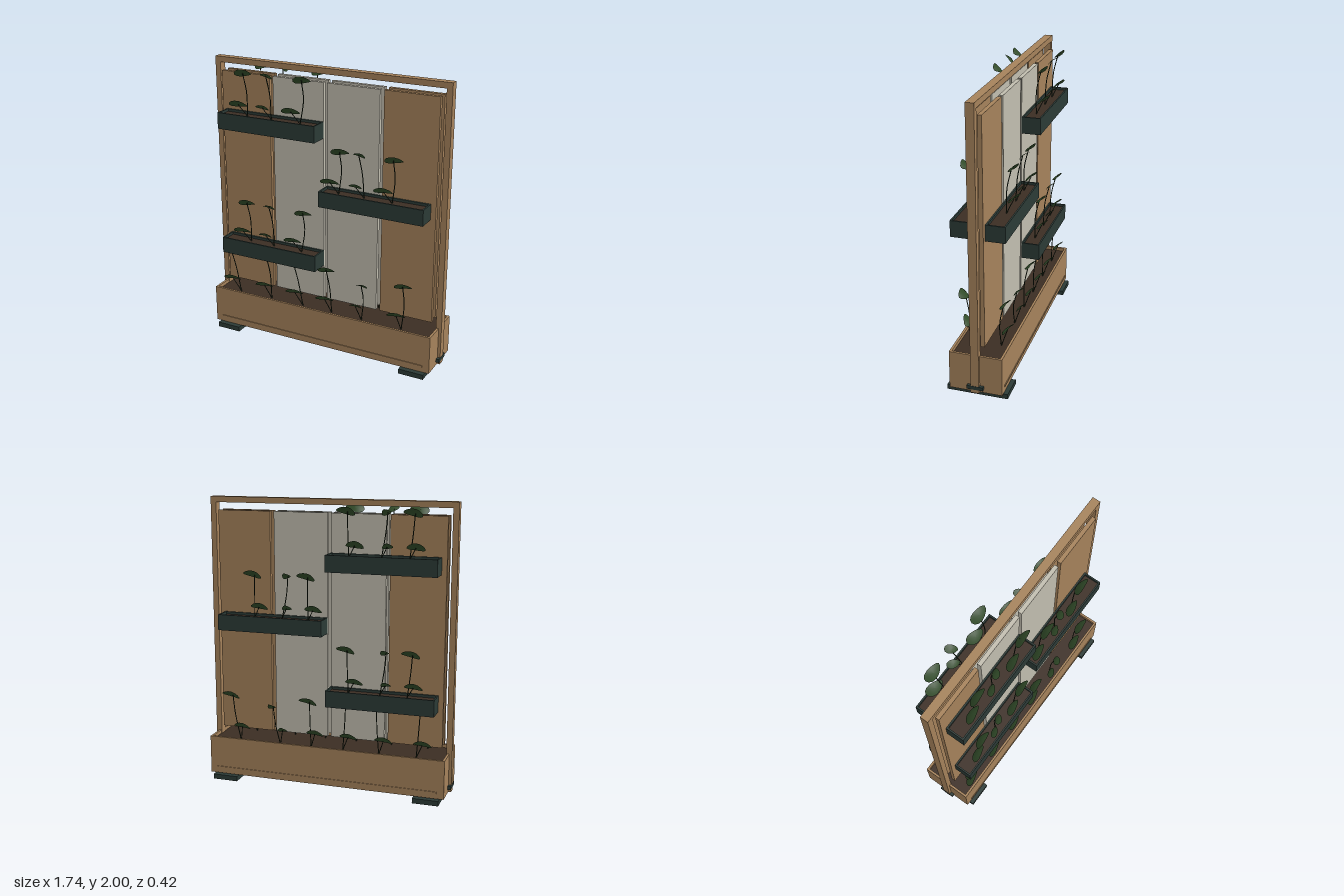
import * as THREE from 'three';

const mat = (color, side = THREE.FrontSide) => {
  const m = new THREE.MeshStandardMaterial({ side });
  m.color.set(color);
  return m;
};
const WOOD = mat(0xa5825b), PALE = mat(0xc1bdaf), METAL = mat(0x2b3a36), SOIL = mat(0x3b2d23);
const STEM = mat(0x1e2a1a), LEAF = mat(0x304a28, THREE.DoubleSide);

// Box given by its minimum and maximum corners
function box(parent, name, m, [x0, x1], [y0, y1], [z0, z1]) {
  const mesh = new THREE.Mesh(new THREE.BoxGeometry(x1 - x0, y1 - y0, z1 - z0), m);
  mesh.position.set((x0 + x1) / 2, (y0 + y1) / 2, (z0 + z1) / 2);
  mesh.name = name;
  parent.add(mesh);
  return mesh;
}

// Open-topped box with four walls, a floor and a bed of soil
function trough(name, m, [x0, x1], [y0, y1], [z0, z1], t, drop) {
  const g = new THREE.Group();
  g.name = name;
  box(g, 'frontWall', m, [x0, x1], [y0, y1], [z1 - t, z1]);
  box(g, 'backWall', m, [x0, x1], [y0, y1], [z0, z0 + t]);
  box(g, 'rightWall', m, [x0, x0 + t], [y0, y1], [z0 + t, z1 - t]);
  box(g, 'leftWall', m, [x1 - t, x1], [y0, y1], [z0 + t, z1 - t]);
  box(g, 'floor', m, [x0 + t, x1 - t], [y0, y0 + t], [z0 + t, z1 - t]);
  box(g, 'soil', SOIL, [x0 + t, x1 - t], [y0 + t, y1 - drop], [z0 + t, z1 - t]);
  return g;
}

// Oval leaf, cupped so that its two ends droop
function leafGeometry() {
  const g = new THREE.RingGeometry(0.001, 1, 14, 3);
  g.rotateX(-Math.PI / 2);
  const p = g.attributes.position;
  for (let i = 0; i < p.count; i++) {
    const x = p.getX(i), z = p.getZ(i);
    p.setXYZ(i, x * 0.066, 0.012 - 0.016 * x * x - 0.004 * z * z, z * 0.04 * (1 - 0.25 * x));
  }
  g.computeVertexNormals();
  return g;
}
const leafGeo = leafGeometry();

function leaf(parent, x, y, z, yaw, scale) {
  const m = new THREE.Mesh(leafGeo, LEAF);
  m.name = 'leaf';
  m.position.set(x, y, z);
  m.rotation.set(-0.75, yaw, 0.12);
  m.scale.setScalar(scale);
  parent.add(m);
}

// Thin bent stem with a low leaf beside it and a high leaf on top
function plant(parent, x, soilY, [lowX, lowY], [topX, topY], slim) {
  const g = new THREE.Group();
  g.name = 'plant';
  const curve = new THREE.CatmullRomCurve3([
    new THREE.Vector3(x, soilY - 0.01, 0.11),
    new THREE.Vector3(x + (topX - x) * 0.75, soilY + (topY - soilY) * 0.55, 0.112),
    new THREE.Vector3(topX - 0.01, topY, 0.14),
  ]);
  const stem = new THREE.Mesh(new THREE.TubeGeometry(curve, 10, 0.0035, 5), STEM);
  stem.name = 'stem';
  g.add(stem);
  const twig = new THREE.Mesh(new THREE.TubeGeometry(new THREE.LineCurve3(
    new THREE.Vector3(x, soilY, 0.11), new THREE.Vector3(lowX, lowY, 0.145)), 2, 0.003, 5), STEM);
  twig.name = 'sideStem';
  g.add(twig);
  leaf(g, lowX, lowY, 0.145, slim ? 0.6 : 0.15, slim ? 0.7 : 1);
  leaf(g, topX, topY, 0.152, slim ? 0.9 : -0.1, slim ? 0.68 : 1);
  parent.add(g);
}

export function createModel() {
  const model = new THREE.Group();
  model.name = 'verticalPlanter';

  // Upright frame
  const frame = new THREE.Group();
  frame.name = 'frame';
  model.add(frame);
  for (const s of [-1, 1]) {
    box(frame, 'post', WOOD, [s * 0.85 - 0.02, s * 0.85 + 0.02], [0.04, 1.96], [-0.028, 0.028]);
    // Pivot bracket with bolts, and the foot below
    box(model, 'pivotBracket', METAL, [s * 0.86 - 0.012, s * 0.86 + 0.012], [0.065, 0.09], [-0.055, 0.055]);
    box(model, 'foot', METAL, [s * 0.73 - 0.09, s * 0.73 + 0.09], [0, 0.035], [-0.208, 0.208]);
    box(model, 'footSpacer', METAL, [s * 0.73 - 0.07, s * 0.73 + 0.07], [0.034, 0.042], [-0.15, 0.15]);
  }
  box(frame, 'topRail', WOOD, [-0.87, 0.87], [1.96, 2], [-0.028, 0.028]);

  // Four panels, each a front and back board
  [[-0.805, -0.425, WOOD], [-0.4, -0.014, PALE], [0.01, 0.393, PALE], [0.421, 0.803, WOOD]]
    .forEach(([x0, x1, m]) => {
      for (const s of [-1, 1])
        box(model, 'panel', m, [x0, x1], [0.355, 1.91], [s * 0.036 - 0.014, s * 0.036 + 0.014]);
    });

  // Base planter with a thin trim strip on both long sides
  model.add(trough('basePlanter', WOOD, [-0.85, 0.85], [0.04, 0.31], [-0.18, 0.18], 0.016, 0.025));
  for (const s of [-1, 1])
    box(model, 'trimStrip', WOOD, [-0.8, 0.8], [0.078, 0.09], [s * 0.181 - 0.004, s * 0.181 + 0.004]);

  // Wall troughs and plants, the same on both faces
  const low = [[-0.62, -0.43, -0.21], [0.08, 0.27, 0.47]];
  const top = [[-0.57, -0.39, -0.12], [0.16, 0.3, 0.545]];
  const rows = [[0, 1.53, 1.645], [1, 1.09, 1.2], [0, 0.605, 0.72]];
  const basePlants = [[-0.67, -0.72, -0.72], [-0.41, -0.45, -0.42], [-0.15, -0.2, -0.2],
    [0.08, 0.04, 0.06], [0.31, 0.28, 0.33], [0.61, 0.585, 0.635]];
  for (const side of [1, -1]) {
    const face = new THREE.Group();
    face.name = side > 0 ? 'frontPlanting' : 'backPlanting';
    face.scale.z = side;
    model.add(face);
    const dx = side > 0 ? 0 : -0.03;
    for (const [col, y0, y1] of rows) {
      face.add(trough('wallTrough', METAL, col ? [0.01, 0.767] : [-0.77, -0.015], [y0, y1], [0.05, 0.18], 0.011, 0.018));
      low[col].forEach((lx, i) => plant(face, lx + 0.05, y1 - 0.018,
        [lx, y1 + 0.065], [top[col][i] + dx, y1 + 0.285], i === 1));
    }
    basePlants.forEach(([x, lx, tx], i) => plant(face, x - dx, 0.285,
      [lx - dx, 0.395], [tx - dx * 2, i === 4 ? 0.56 : 0.62], i === 4));
  }
  return model;
}
